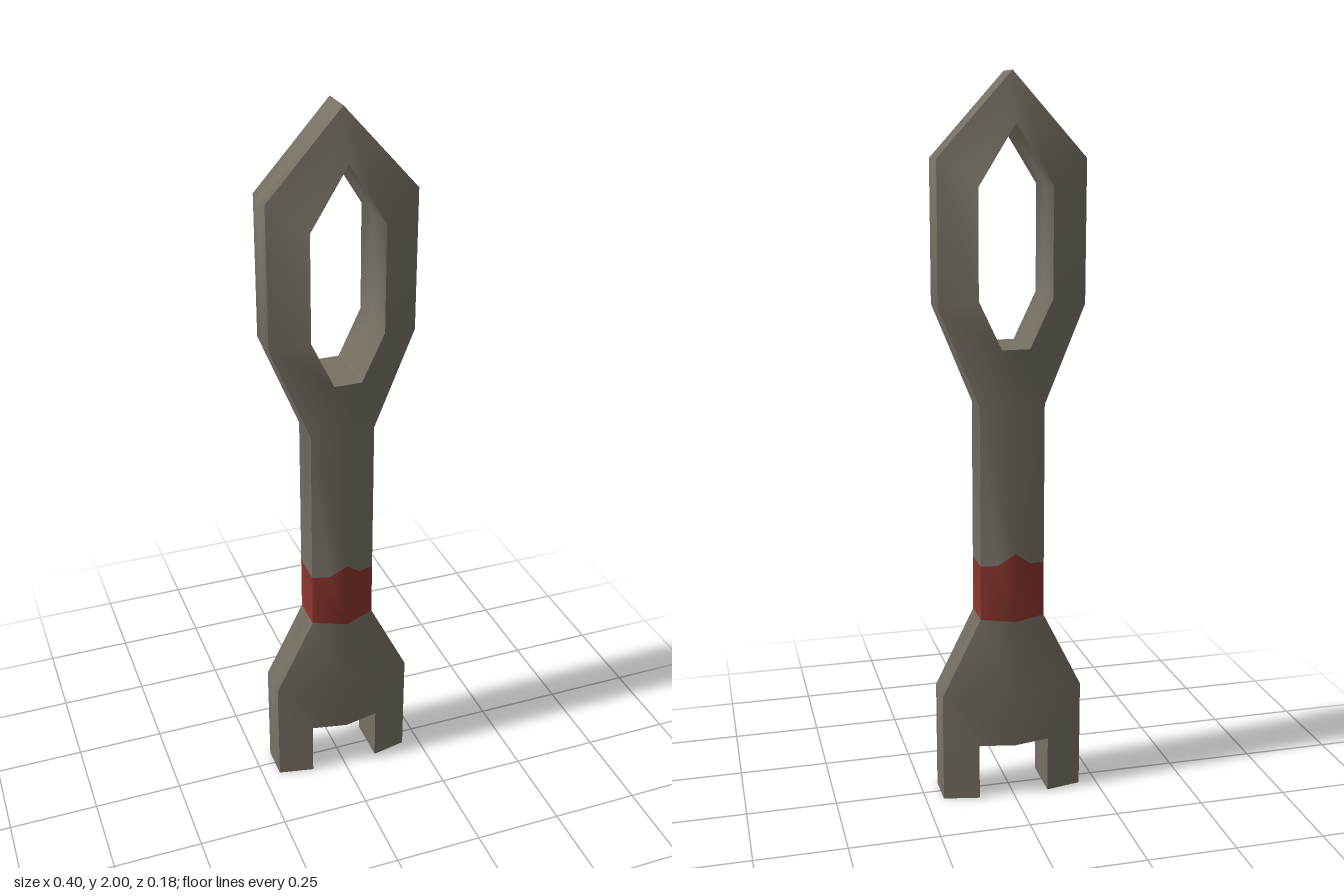
import * as THREE from 'three';
import { toCreasedNormals } from 'three/addons/utils/BufferGeometryUtils.js';

export function createModel() {
  const steel = new THREE.MeshStandardMaterial({ color: 0x767064 });
  steel.name = 'steel';
  const red = new THREE.MeshStandardMaterial({ color: 0x88342c });
  red.name = 'bandRed';

  const RIM = 0.048, MID = 0.088; // half thickness at the rim and along the ridge
  const rim = (x, y) => [x, y, RIM];
  const mid = (x, y) => [x, y, MID];

  // outer rim, tip down to the foot of one prong
  const tip = rim(0, 2), headTop = rim(0.2, 1.78), headLow = rim(0.2, 1.4);
  const neck = rim(0.09, 1.13), bandTop = rim(0.09, 0.685), bandLow = rim(0.09, 0.53);
  const shoulder = rim(0.2, 0.31), foot = rim(0.2, 0);
  // eye opening
  const eyeTop = mid(0, 1.87), eyeA = mid(0.1, 1.71), eyeB = mid(0.1, 1.42);
  const eyeC = mid(0.038, 1.29), eyeLow = mid(0, 1.29);
  // centre ridge and slot
  const neckMid = mid(0, 1.13), bandPeak = mid(0, 0.728), bandDip = [0.045, 0.69, 0.068];
  const bandMid = mid(0, 0.53), forkMid = mid(0, 0.31), slotMid = mid(0, 0.16);
  const slotCorner = [0.1, 0.16, 0.068], slotFoot = [0.1, 0, 0.068];

  // polygons of one front quarter, counter-clockwise
  const bodyFaces = [
    [tip, eyeTop, eyeA, headTop],
    [headTop, eyeA, eyeB, headLow],
    [headLow, eyeB, eyeC, neck],
    [neck, eyeC, eyeLow, neckMid],
    [neck, neckMid, bandPeak, bandDip, bandTop],
    [bandLow, bandMid, forkMid, shoulder],
    [shoulder, forkMid, slotMid, slotCorner],
    [shoulder, slotCorner, slotFoot, foot],
  ];
  const bandFaces = [[bandMid, bandLow, bandTop, bandDip, bandPeak]];

  // edge walls running back to the middle plane
  const wall = (faces, ...path) => {
    for (let i = 0; i + 1 < path.length; i++) {
      const [a, b] = [path[i], path[i + 1]];
      faces.push([a, b, [b[0], b[1], 0], [a[0], a[1], 0]]);
    }
  };
  wall(bodyFaces, tip, headTop, headLow, neck, bandTop);
  wall(bandFaces, bandTop, bandLow);
  wall(bodyFaces, bandLow, shoulder, foot, slotFoot, slotCorner, slotMid);
  wall(bodyFaces, eyeLow, eyeC, eyeB, eyeA, eyeTop);

  // fan out the polygons and mirror them into all four quarters
  const positions = [];
  const addFaces = (faces) => {
    for (const sx of [1, -1]) for (const sz of [1, -1]) {
      for (const face of faces) {
        const f = sx * sz > 0 ? face : [...face].reverse();
        // keep the fan starting at the same corner after reversing
        const p = sx * sz > 0 ? f : [f[f.length - 1], ...f.slice(0, -1)];
        for (let i = 1; i + 1 < p.length; i++)
          for (const v of [p[0], p[i], p[i + 1]]) positions.push(v[0] * sx, v[1], v[2] * sz);
      }
    }
    return positions.length / 3;
  };

  let geometry = new THREE.BufferGeometry();
  const split = addFaces(bodyFaces);
  const end = addFaces(bandFaces);
  geometry.setAttribute('position', new THREE.Float32BufferAttribute(positions, 3));
  geometry.addGroup(0, split, 0);
  geometry.addGroup(split, end - split, 1);
  // soft centre ridge, sharp rims
  geometry = toCreasedNormals(geometry, 0.99);

  const wrench = new THREE.Mesh(geometry, [steel, red]);
  wrench.name = 'wrenchBodyWithBand';
  const group = new THREE.Group();
  group.name = 'wrench';
  group.add(wrench);
  return group;
}
